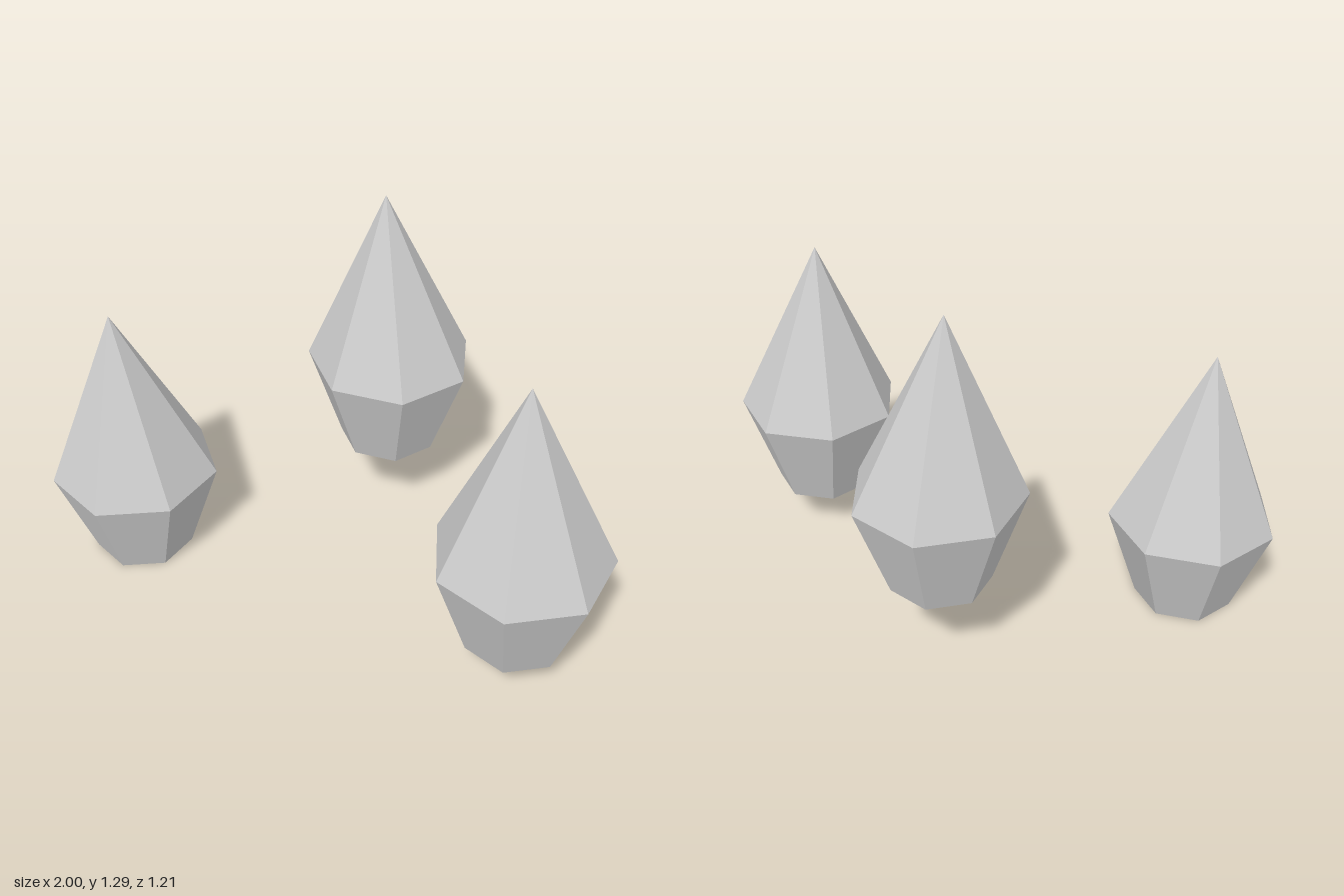
import * as THREE from 'three';

const SIDES = 7;
const GIRDLE_RADIUS = 0.293;
const BASE_RADIUS = 0.176;
const GIRDLE_HEIGHT = 0.342;
const HEIGHT = 0.976;
const TIP_SHIFT = 0.026; // the tip leans slightly towards one corner

// Seven-sided crystal: flat base, flared lower part, pointed upper part
function crystalGeometry() {
  const profile = [
    new THREE.Vector2(0, 0),
    new THREE.Vector2(BASE_RADIUS, 0),
    new THREE.Vector2(GIRDLE_RADIUS, GIRDLE_HEIGHT),
    new THREE.Vector2(0, HEIGHT),
  ];
  const lathe = new THREE.LatheGeometry(profile, SIDES, Math.PI / 2);
  const position = lathe.attributes.position;
  for (let i = 0; i < position.count; i++) {
    if (position.getY(i) > HEIGHT - 0.001) position.setX(i, TIP_SHIFT);
  }
  const geometry = lathe.toNonIndexed();
  geometry.computeVertexNormals();
  return geometry;
}

export function createModel() {
  const group = new THREE.Group();
  group.name = 'floatingCrystals';
  const material = new THREE.MeshStandardMaterial({ color: 0xcccccc, flatShading: true });
  const geometry = crystalGeometry();

  // Three equal crystals at different heights, each turned (degrees, from +x towards +z)
  const crystals = [
    { name: 'rightCrystal', at: [-0.71, 0, 0.311], turn: 133.3 },
    { name: 'backCrystal', at: [-0.018, 0.319, -0.317], turn: 157.6 },
    { name: 'leftCrystal', at: [0.734, 0.163, 0.25], turn: 181 },
  ];
  for (const { name, at, turn } of crystals) {
    const crystal = new THREE.Mesh(geometry, material);
    crystal.name = name;
    crystal.position.set(...at);
    crystal.rotation.y = -THREE.MathUtils.degToRad(turn);
    group.add(crystal);
  }
  return group;
}
